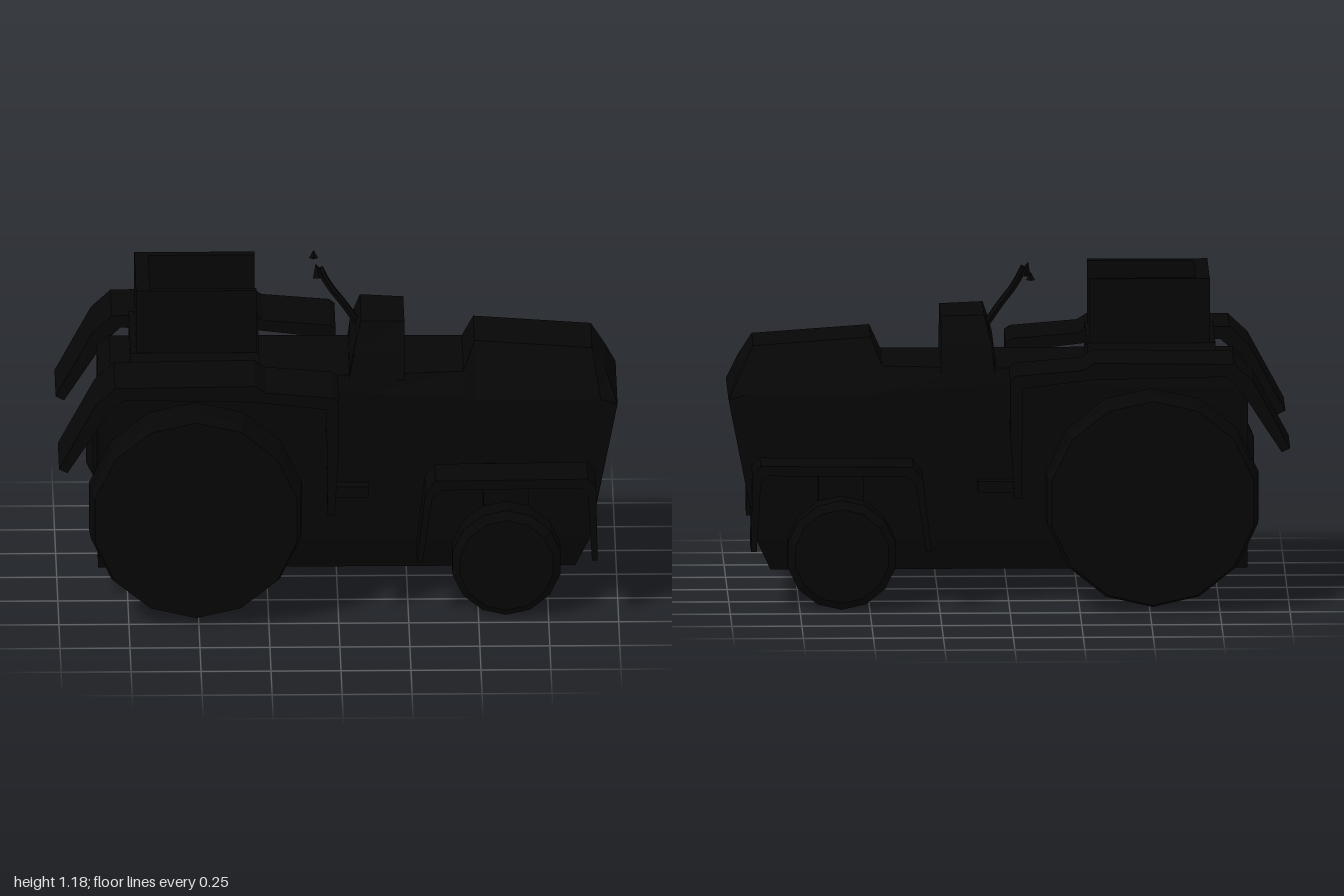
import * as THREE from 'three';

const paint = new THREE.MeshStandardMaterial({ color: 0x060606, flatShading: true, side: THREE.DoubleSide });

export function createModel() {
  const model = new THREE.Group();

  function add(name, geometry, x = 0, y = 0, z = 0) {
    const mesh = new THREE.Mesh(geometry, paint);
    mesh.name = name;
    mesh.position.set(x, y, z);
    model.add(mesh);
    return mesh;
  }
  const box = (name, x0, x1, y0, y1, z0, z1) => add(name,
    new THREE.BoxGeometry(x1 - x0, y1 - y0, z1 - z0), (x0 + x1) / 2, (y0 + y1) / 2, (z0 + z1) / 2);

  // Side profile in x, y swept from z0 to z1
  function sweep(name, points, z0, z1) {
    const shape = new THREE.Shape(points.map(p => new THREE.Vector2(...p)));
    return add(name, new THREE.ExtrudeGeometry(shape, { depth: z1 - z0, bevelEnabled: false }), 0, 0, z0);
  }

  // Mirrored cross-sections joined along x; each half runs bottom to top
  function loft(name, halves) {
    const rings = halves.map(h => [...h, ...h.map(([x, y, z]) => [x, y, -z]).reverse()]);
    const n = rings[0].length, pos = [];
    const tri = (a, b, c) => pos.push(...a, ...b, ...c);
    for (let i = 0; i < rings.length - 1; i++) {
      for (let k = 0; k < n; k++) {
        const j = (k + 1) % n, p = rings[i], q = rings[i + 1];
        tri(p[k], q[k], q[j]);
        tri(p[k], q[j], p[j]);
      }
    }
    const first = rings[0], last = rings[rings.length - 1];
    for (let k = 1; k < n - 1; k++) {
      tri(first[0], first[k], first[k + 1]);
      tri(last[0], last[k + 1], last[k]);
    }
    const g = new THREE.BufferGeometry();
    g.setAttribute('position', new THREE.Float32BufferAttribute(pos, 3));
    g.computeVertexNormals();
    return add(name, g);
  }

  // Chassis and bonnet, ending in a nose with a straight leading edge
  const section = (x, shoulder, top, width) => [[x, 0.11, 0.2], [x, 0.22, 0.225], [x, shoulder, 0.238], [x, top, width]];
  const chin = [[0.85, 0.11, 0.2], [0.9, 0.22, 0.22]];
  loft('body', [
    section(-0.855, 0.74, 0.8, 0.22),
    section(-0.81, 0.77, 0.84, 0.22),
    section(0.1, 0.78, 0.84, 0.21),
    section(0.45, 0.76, 0.845, 0.19),
    section(0.49, 0.75, 0.94, 0.13),
    [...chin, [0.94, 0.75, 0.232], [0.91, 0.91, 0.13]],
    [...chin, [1.0, 0.73, 0.225], [0.96, 0.83, 0.14]],
    [...chin, [1.0, 0.73, 0.225], [1.0, 0.73, 0.14]],
  ]);

  // Dashboard with tapered sides
  loft('dashboard', [
    [[0.04, 0.82, 0.22], [0.05, 0.9, 0.21], [0.065, 0.96, 0.17]],
    [[0.05, 0.82, 0.22], [0.06, 0.92, 0.2], [0.085, 1.02, 0.14]],
    [[0.24, 0.82, 0.22], [0.24, 0.92, 0.19], [0.24, 1.015, 0.13]],
  ]);

  // Steering column and its pointed tip
  const path = new THREE.CatmullRomCurve3([[0.09, 0.94, 0], [0.03, 1.03, 0], [-0.03, 1.11, 0], [-0.06, 1.17, 0]]
    .map(p => new THREE.Vector3(...p)));
  add('steeringColumn', new THREE.TubeGeometry(path, 6, 0.014, 6));
  const tip = add('columnTip', new THREE.ConeGeometry(0.025, 0.05, 4), -0.068, 1.163, 0);
  tip.rotation.z = 0.3;
  add('sideLeverTip', new THREE.ConeGeometry(0.016, 0.03, 4), -0.08, 1.165, -0.165);

  // Seat: plinth, cushion, back and two leaning side walls
  loft('seatPlinth', [-0.74, -0.28].map(x => [[x, 0.8, 0.235], [x, 0.9, 0.25], [x, 0.93, 0.22]]));
  box('seatCushion', -0.7, -0.3, 0.91, 1.01, -0.18, 0.18);
  box('seatBack', -0.72, -0.67, 0.91, 1.16, -0.2, 0.2);

  // Low-poly tyre, revolved from the inner hub to the outer face
  function wheel(name, profile, sides, x, y, s) {
    const g = new THREE.LatheGeometry(profile.map(p => new THREE.Vector2(...p)), sides);
    add(name, g, x, y, 0).rotation.x = s * Math.PI / 2;
  }

  for (const s of [1, -1]) {
    const side = s > 0 ? 'left' : 'right';
    const span = (a, b) => s > 0 ? [a, b] : [-b, -a];

    const wall = box(side + 'SeatWall', -0.72, -0.29, 0.91, 1.16, ...span(0.183, 0.213));
    wall.rotation.x = -s * 0.06;

    // Wheels
    wheel(side + 'RearWheel', [[0, 0.2], [0.28, 0.22], [0.28, 0.285], [0.365, 0.305], [0.39, 0.35],
      [0.385, 0.46], [0.37, 0.515], [0, 0.515]], 14, -0.51, 0.4, s);
    wheel(side + 'FrontWheel', [[0, 0.28], [0.16, 0.29], [0.198, 0.32], [0.198, 0.42],
      [0.17, 0.45], [0, 0.455]], 14, 0.6, 0.2, s);

    // Rear mudguard with sloping tail and front drop panel
    sweep(side + 'RearFender', [
      [-1, 0.6], [-0.87, 0.84], [-0.8, 0.905], [-0.3, 0.91], [-0.26, 0.885], [-0.02, 0.865], [0, 0.85], [0, 0.66],
      [-0.015, 0.42], [-0.04, 0.42], [-0.045, 0.82], [-0.3, 0.85], [-0.77, 0.86], [-0.83, 0.8], [-0.97, 0.585],
    ], ...span(0.245, 0.522));

    // Front mudguard arched over the small wheel
    sweep(side + 'FrontFender', [
      [0.28, 0.22], [0.31, 0.48], [0.345, 0.525], [0.89, 0.53], [0.92, 0.5], [0.925, 0.22],
      [0.905, 0.22], [0.89, 0.47], [0.865, 0.495], [0.37, 0.49], [0.335, 0.46], [0.3, 0.22],
    ], ...span(0.28, 0.46));

    // Axle stub, fender bracket and footstep
    const axle = add(side + 'FrontAxle', new THREE.CylinderGeometry(0.07, 0.09, 0.12, 8), 0.6, 0.22, s * 0.26);
    axle.rotation.x = Math.PI / 2;
    box(side + 'FenderBracket', 0.52, 0.68, 0.34, 0.51, ...span(0.2, 0.3));
    box(side + 'Footstep', -0.02, 0.11, 0.4, 0.44, ...span(0.2, 0.28));
  }
  return model;
}
